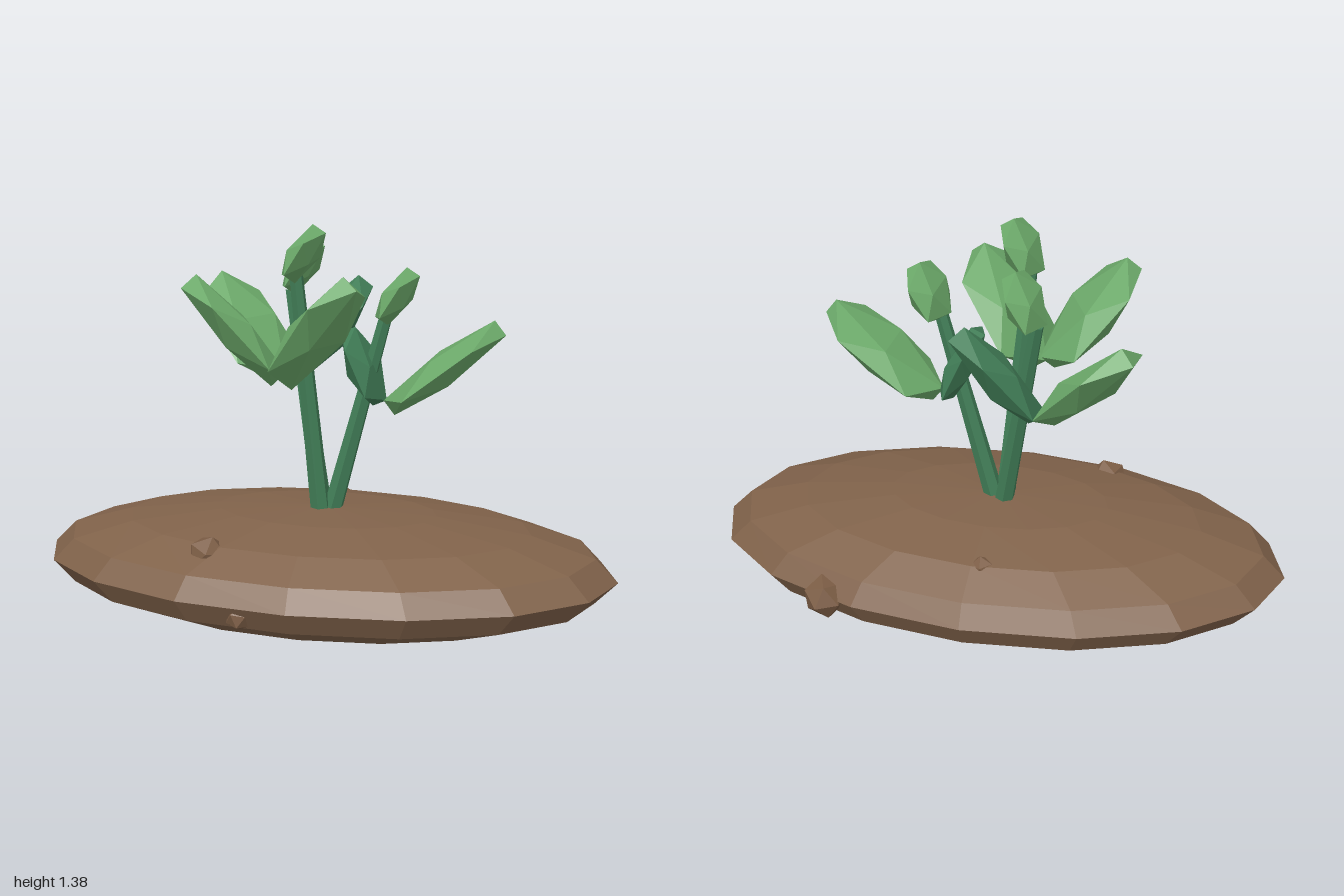
import * as THREE from 'three';

const flat = (name, color) => {
  const m = new THREE.MeshStandardMaterial({ color, flatShading: true });
  m.name = name;
  return m;
};

export function createModel() {
  const group = new THREE.Group();
  const soil = flat('soil brown', 0x80624a);
  const rock = flat('clod brown', 0x7c5d45);
  const leafGreen = flat('leaf green', 0x6dab6b);
  const stemGreen = flat('stem green', 0x427f58);

  const add = (name, geometry, material) => {
    const mesh = new THREE.Mesh(geometry, material);
    mesh.name = name;
    group.add(mesh);
    return mesh;
  };

  // Flattened icosahedron: thickness, length and width are full sizes;
  // azimuth (0 = +x, 90 = +z) and elevation, in degrees, aim its length
  const blade = (name, pos, azimuth, elevation, [thick, length, width], material) => {
    const a = THREE.MathUtils.degToRad(azimuth);
    const e = THREE.MathUtils.degToRad(elevation);
    const along = new THREE.Vector3(Math.cos(e) * Math.cos(a), Math.sin(e), Math.cos(e) * Math.sin(a));
    const across = new THREE.Vector3(-Math.sin(a), 0, Math.cos(a));
    const normal = along.clone().cross(across);
    const k = 0.5 / 0.851;
    const geometry = new THREE.IcosahedronGeometry(1, 0).scale(thick * k, length * k, width * k);
    geometry.applyMatrix4(new THREE.Matrix4().makeBasis(normal, along, across));
    add(name, geometry, material).position.set(...pos);
  };

  // Soil mound
  const mound = add('soilMound', new THREE.SphereGeometry(1, 16, 8), soil);
  mound.scale.set(1, 0.203, 0.563);
  mound.position.y = 0.208;

  // Clods half buried in the mound
  const clods = [
    [0.49, 0.2, -0.465, 0.075],
    [-0.32, 0.315, 0.35, 0.07],
    [-0.17, 0.165, 0.5, 0.045],
    [-0.03, 0.33, -0.37, 0.045],
  ];
  clods.forEach(([x, y, z, r], i) => {
    const clod = add('clod' + (i + 1), new THREE.IcosahedronGeometry(r, 0), rock);
    clod.position.set(x, y, z);
    clod.rotation.set(0.4 + i, 0.7 * i, 0.3);
  });

  // Three leaning stems
  const up = new THREE.Vector3(0, 1, 0);
  const stems = [
    [[-0.015, 0.36, 0.015], [-0.09, 1.24, 0.07]],
    [[-0.015, 0.36, -0.015], [-0.16, 1.13, -0.15]],
    [[0.01, 0.36, 0], [0.2, 1.07, 0]],
  ];
  stems.forEach(([from, to], i) => {
    const a = new THREE.Vector3(...from);
    const d = new THREE.Vector3(...to).sub(a);
    const stem = add('stem' + (i + 1), new THREE.CylinderGeometry(0.023, 0.035, d.length(), 6), stemGreen);
    stem.position.copy(a).addScaledVector(d, 0.5);
    stem.quaternion.setFromUnitVectors(up, d.normalize());
  });

  // Small upper leaves at the stem tips
  const tip = [0.085, 0.2, 0.265];
  blade('tipLeaf1', [-0.055, 1.29, 0.095], 0, 58, tip, leafGreen);
  blade('tipLeaf2', [-0.12, 1.21, -0.155], 0, 58, tip, leafGreen);
  blade('tipLeaf3', [0.24, 1.145, 0], 0, 58, tip, leafGreen);

  // Broad leaves
  const broad = [0.11, 0.45, 0.3];
  blade('rightSideLeaf', [-0.27, 1.04, 0.18], 155, 49, broad, leafGreen);
  blade('frontLeaf', [0.01, 1.04, 0.18], 25, 53, broad, leafGreen);
  blade('leftSideLeaf', [0.4, 0.91, 0], 0, 38, [0.1, 0.47, 0.3], leafGreen);
  blade('backRightLeaf', [-0.345, 0.975, -0.245], 210, 45, broad, leafGreen);
  blade('backLeaf', [-0.05, 0.98, -0.24], -28, 51, [0.11, 0.42, 0.29], stemGreen);
  blade('innerLeaf', [0.125, 0.9, -0.015], 180, 66, [0.085, 0.27, 0.28], stemGreen);

  return group;
}
